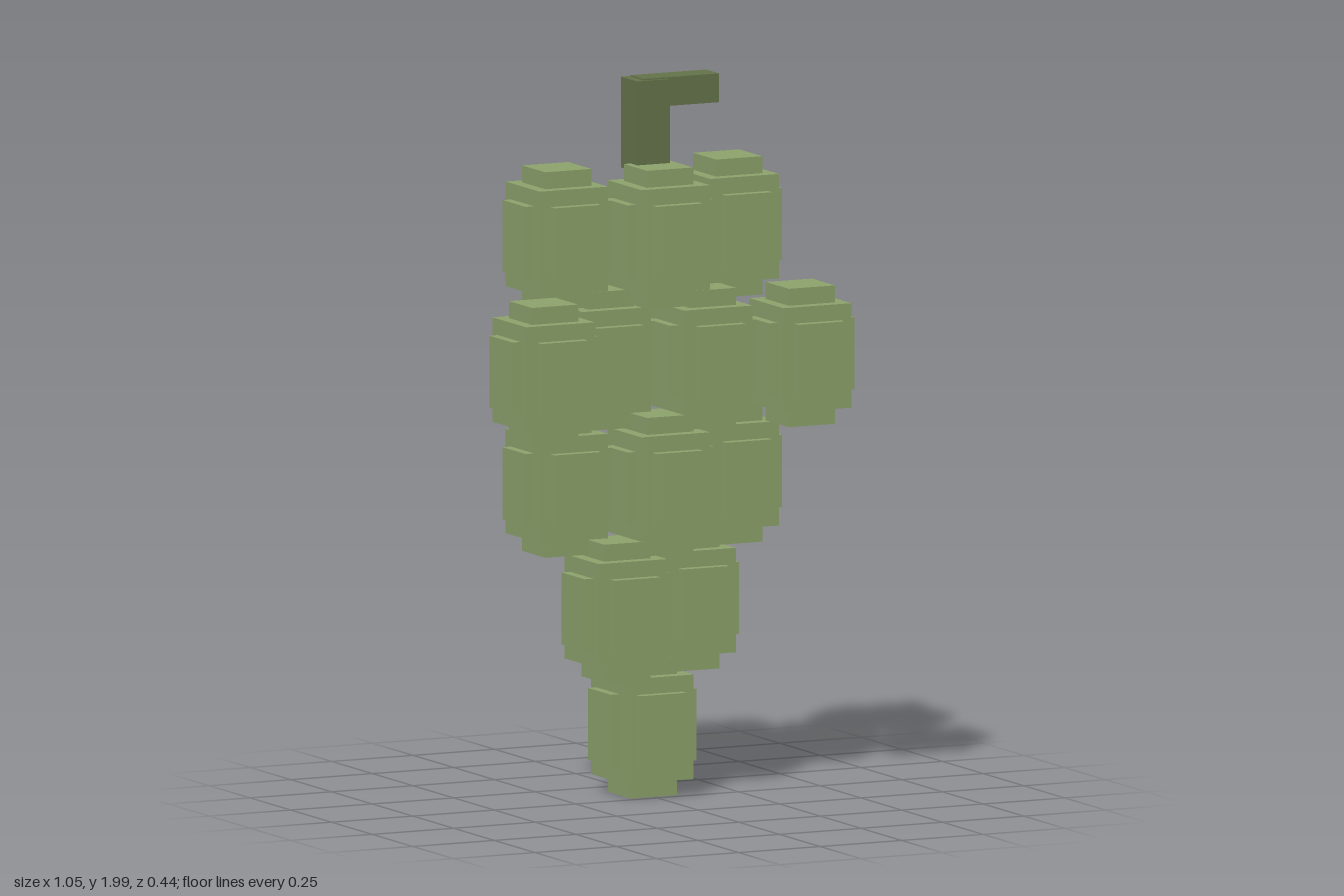
import * as THREE from 'three';

const grapeMat = new THREE.MeshStandardMaterial({ color: 0x8fa46d });
grapeMat.name = 'grape green';
const stemMat = new THREE.MeshStandardMaterial({ color: 0x66754b });
stemMat.name = 'stem green';

function box(name, mat, size, pos) {
  const mesh = new THREE.Mesh(new THREE.BoxGeometry(...size), mat);
  mesh.name = name;
  mesh.position.set(...pos);
  return mesh;
}

// A blocky grape: a core with a smaller raised slab on each of its six faces
function makeGrape() {
  const grape = new THREE.Group();
  grape.name = 'grape';
  grape.add(
    box('grapeCore', grapeMat, [0.21, 0.29, 0.21], [0, 0, 0]),
    box('sideSlabs', grapeMat, [0.262, 0.2, 0.142], [0, 0, 0]),
    box('frontBackSlabs', grapeMat, [0.142, 0.2, 0.262], [0, 0, 0]),
    box('topBottomSlabs', grapeMat, [0.142, 0.384, 0.142], [0, 0, 0])
  );
  return grape;
}

export function createModel() {
  const model = new THREE.Group();
  model.name = 'grapeBunch';

  // Rows from the bottom up, each grape as [x, z]
  const back = -0.093, mid = 0.008, front = 0.09;
  const rows = [
    [[0, back]],
    [[-0.131, mid], [0.131, back]],
    [[-0.262, back], [0, mid], [0.262, back]],
    [[-0.394, front], [-0.131, back], [0.131, mid], [0.394, front]],
    [[-0.262, back], [0, mid], [0.262, back]],
  ];
  rows.forEach((row, i) => {
    for (const [x, z] of row) {
      const grape = makeGrape();
      grape.position.set(x, 0.199 + i * 0.343, z);
      model.add(grape);
    }
  });

  // Stem: upright post with a bar bent to one side
  const stem = new THREE.Group();
  stem.name = 'stem';
  stem.add(
    box('stemPost', stemMat, [0.1, 0.252, 0.1], [0, 1.87, -0.073]),
    box('stemBar', stemMat, [0.232, 0.08, 0.08], [0.09, 1.96, -0.073])
  );
  model.add(stem);
  return model;
}
